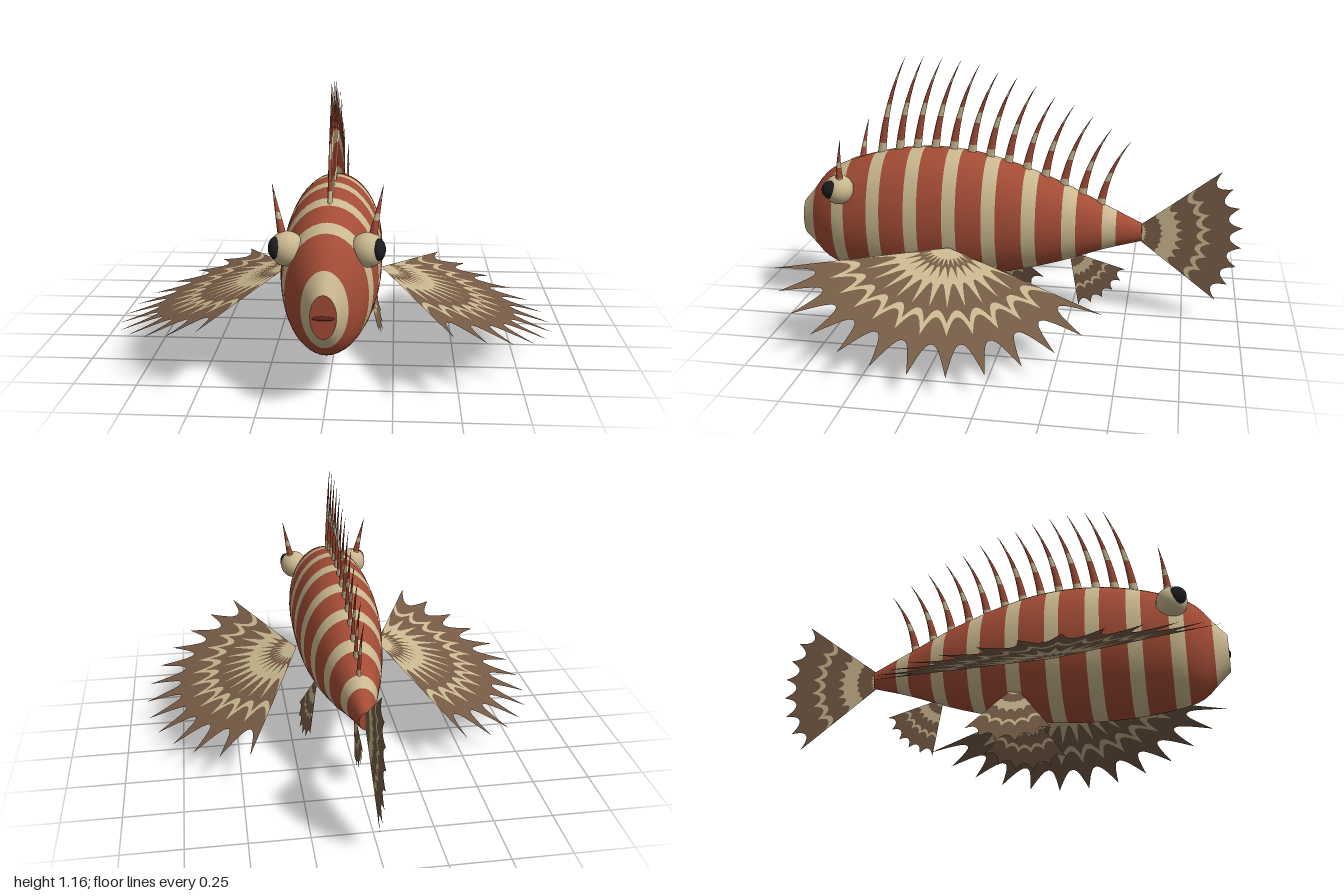
import * as THREE from 'three';

const mat = (name, color, side = THREE.FrontSide) => {
  const m = new THREE.MeshStandardMaterial({ color, side });
  m.name = name;
  return m;
};
const red = mat('rust red', 0xa34c35);
const cream = mat('cream', 0xc9b78f, THREE.DoubleSide);
const brown = mat('fin brown', 0x775c46, THREE.DoubleSide);
const black = mat('eye black', 0x1c1c1f);
const dark = mat('mouth brown', 0x5a2a20);
const V = (x, y, z) => new THREE.Vector3(x, y, z);

// Skin rows of points; each strip between two rows has its own material
function loft(name, rows, mats, closed) {
  const n = rows[0].length, pos = [], idx = [];
  const used = [...new Set(mats)];
  const geo = new THREE.BufferGeometry();
  rows.forEach(r => r.forEach(p => pos.push(p.x, p.y, p.z)));
  mats.forEach((m, i) => {
    const start = idx.length;
    for (let j = 0; j < (closed ? n : n - 1); j++) {
      const k = (j + 1) % n, a = i * n + j, b = a + n, c = (i + 1) * n + k, d = i * n + k;
      idx.push(a, b, c, a, c, d);
    }
    geo.addGroup(start, idx.length - start, used.indexOf(m));
  });
  geo.setAttribute('position', new THREE.Float32BufferAttribute(pos, 3));
  geo.setIndex(idx);
  geo.computeVertexNormals();
  const mesh = new THREE.Mesh(geo, used);
  mesh.name = name;
  return mesh;
}

// Body stations: z, top, bottom, half width
const STATIONS = [
  [0.99, 0.48, 0.315, 0.048], [0.935, 0.545, 0.262, 0.083], [0.88, 0.615, 0.21, 0.125],
  [0.8, 0.665, 0.18, 0.163], [0.6, 0.73, 0.15, 0.195], [0.4, 0.757, 0.145, 0.2],
  [0.2, 0.745, 0.16, 0.195], [0, 0.695, 0.2, 0.17], [-0.2, 0.62, 0.255, 0.13],
  [-0.4, 0.525, 0.325, 0.075], [-0.56, 0.45, 0.37, 0.028],
];

// Smooth interpolation between the stations
function section(z) {
  const S = STATIONS, last = S.length - 1;
  let i = 0;
  while (i < last - 1 && z < S[i + 1][0]) i++;
  const h = S[i + 1][0] - S[i][0], t = (z - S[i][0]) / h;
  const slope = (j, k) => {
    const a = S[Math.max(j - 1, 0)], b = S[Math.min(j + 1, last)];
    return (b[k] - a[k]) / (b[0] - a[0]);
  };
  return [1, 2, 3].map(k => {
    const p = S[i][k], q = S[i + 1][k], t2 = t * t, t3 = t2 * t;
    return p * (2 * t3 - 3 * t2 + 1) + q * (3 * t2 - 2 * t3)
      + h * (slope(i, k) * (t3 - 2 * t2 + t) + slope(i + 1, k) * (t3 - t2));
  });
}

function makeBody() {
  const rows = [], mats = [], period = 1.55 / 9, sides = 40;
  const addRow = z => {
    const [top, bottom, w] = section(z);
    rows.push(Array.from({ length: sides }, (_, j) => {
      const a = j / sides * Math.PI * 2;
      return V(w * Math.cos(a), (top + bottom) / 2 + (top - bottom) / 2 * Math.sin(a), z);
    }));
  };
  addRow(0.99);
  for (let s = 0; s < 9; s++) {
    const z = 0.99 - s * period;
    for (const f of [0.175, 0.35, 0.52, 0.68, 0.84, 1]) {
      addRow(z - f * period);
      mats.push(f <= 0.35 ? cream : red);
    }
  }
  return loft('stripedBody', rows, mats, true);
}

// Curved tapering spine with cream bands
function makeSpine(name, base, control, tip, rx, rz) {
  const curve = new THREE.QuadraticBezierCurve3(base, control, tip);
  const rows = [], mats = [], steps = 16;
  for (let i = 0; i <= steps; i++) {
    const t = i / steps, c = curve.getPoint(t), k = 1.02 - t;
    rows.push(Array.from({ length: 8 }, (_, j) => {
      const a = j / 8 * Math.PI * 2;
      return V(c.x + rx * k * Math.cos(a), c.y, c.z + rz * k * Math.sin(a));
    }));
    if (i < steps) mats.push(i < 2 || (i >= 6 && i < 8) || i === 12 ? cream : red);
  }
  return loft(name, rows, mats, true);
}

// Spiky fan fin. Each ring is [radius between rays, radius on a ray] over the fin radius
function makeFan(name, origin, along, across, radius, from, to, rays, rings) {
  const sub = 12, cols = (rays - 1) * sub;
  const rows = [[0.005, 0.005], ...rings].map(([valley, peak]) =>
    Array.from({ length: cols + 1 }, (_, j) => {
      const a = THREE.MathUtils.degToRad(from + (to - from) * j / cols);
      const u = Math.abs((j % sub) / sub * 2 - 1);
      const r = radius * (valley + (peak - valley) * u ** 2.3);
      return origin.clone().addScaledVector(along, r * Math.cos(a)).addScaledVector(across, r * Math.sin(a));
    }));
  return loft(name, rows, rings.map((_, i) => (i % 2 ? brown : cream).clone && (i % 2 ? brown : cream)), false);
}

function ball(name, material, r, x, y, z, sx = 1, sy = 1, sz = 1) {
  const m = new THREE.Mesh(new THREE.SphereGeometry(r, 24, 16), material);
  m.name = name;
  m.position.set(x, y, z);
  m.scale.set(sx, sy, sz);
  return m;
}

export function createModel() {
  const model = new THREE.Group();
  model.name = 'stripedSpinyFish';
  model.add(makeBody());

  // Snout, mouth and tail stump end
  [['snout', 0, red], ['tailStump', 10, red]].forEach(([name, i, m]) => {
    const [z, top, bottom, w] = STATIONS[i];
    const cap = new THREE.Mesh(new THREE.CircleGeometry(1, 40), m);
    cap.name = name;
    cap.position.set(0, (top + bottom) / 2, z);
    cap.scale.set(w, (top - bottom) / 2, 1);
    if (i) cap.rotation.y = Math.PI;
    model.add(cap);
  });
  model.add(ball('mouth', dark, 0.042, 0, 0.393, 0.988, 1, 0.2, 0.25));

  // Row of back spines
  const tips = [1.16, 1.165, 1.16, 1.15, 1.135, 1.105, 1.085, 1.05, 1.005, 0.97, 0.925, 0.875, 0.82];
  const spines = new THREE.Group();
  spines.name = 'backSpines';
  tips.forEach((tipY, i) => {
    const z = 0.617 - i * 0.0825, y = section(z)[0] - 0.02;
    spines.add(makeSpine('backSpine', V(0, y, z), V(0, y + (tipY - y) * 0.55, z - 0.025),
      V(0, tipY, z - 0.125), 0.01, 0.02));
  });
  model.add(spines);

  // Paired parts
  const fanRings = [[0.1, 0.17], [0.17, 0.27], [0.31, 0.5], [0.52, 0.62], [0.575, 0.71], [0.775, 1]];
  const smallRings = [[0.14, 0.16], [0.28, 0.3], [0.42, 0.48], [0.6, 0.66], [0.65, 0.73], [0.89, 1]];
  for (const s of [1, -1]) {
    const side = s > 0 ? 'left' : 'right';
    model.add(
      ball(side + 'Eye', cream, 0.066, s * 0.15, 0.585, 0.775),
      ball(side + 'Pupil', black, 0.042, s * 0.19, 0.593, 0.797, 0.65, 1, 1),
      makeSpine(side + 'BrowSpine', V(s * 0.165, 0.62, 0.765), V(s * 0.185, 0.72, 0.76),
        V(s * 0.206, 0.825, 0.738), 0.018, 0.018),
      makeFan(side + 'PectoralFin', V(s * 0.195, 0.357, 0.27), V(s * 0.95, -0.313, 0),
        V(0, 0.0786, 0.997), 0.758, -68, 68, 13, fanRings),
      makeFan(side + 'PelvicFin', V(s * 0.115, 0.28, 0.1), V(s * 0.31, -0.95, 0),
        V(0, 0, 1), 0.285, -45, 35, 6, smallRings),
    );
  }

  // Fins on the middle line
  model.add(
    makeFan('tailFin', V(0, 0.407, -0.505), V(0, 0, -1), V(0, 1, 0), 0.49, -37.5, 37.5, 8, smallRings),
    makeFan('analFin', V(0, 0.3, -0.24), V(0, -1, 0), V(0, 0, -1), 0.265, 10, 74, 6, smallRings),
  );
  return model;
}
